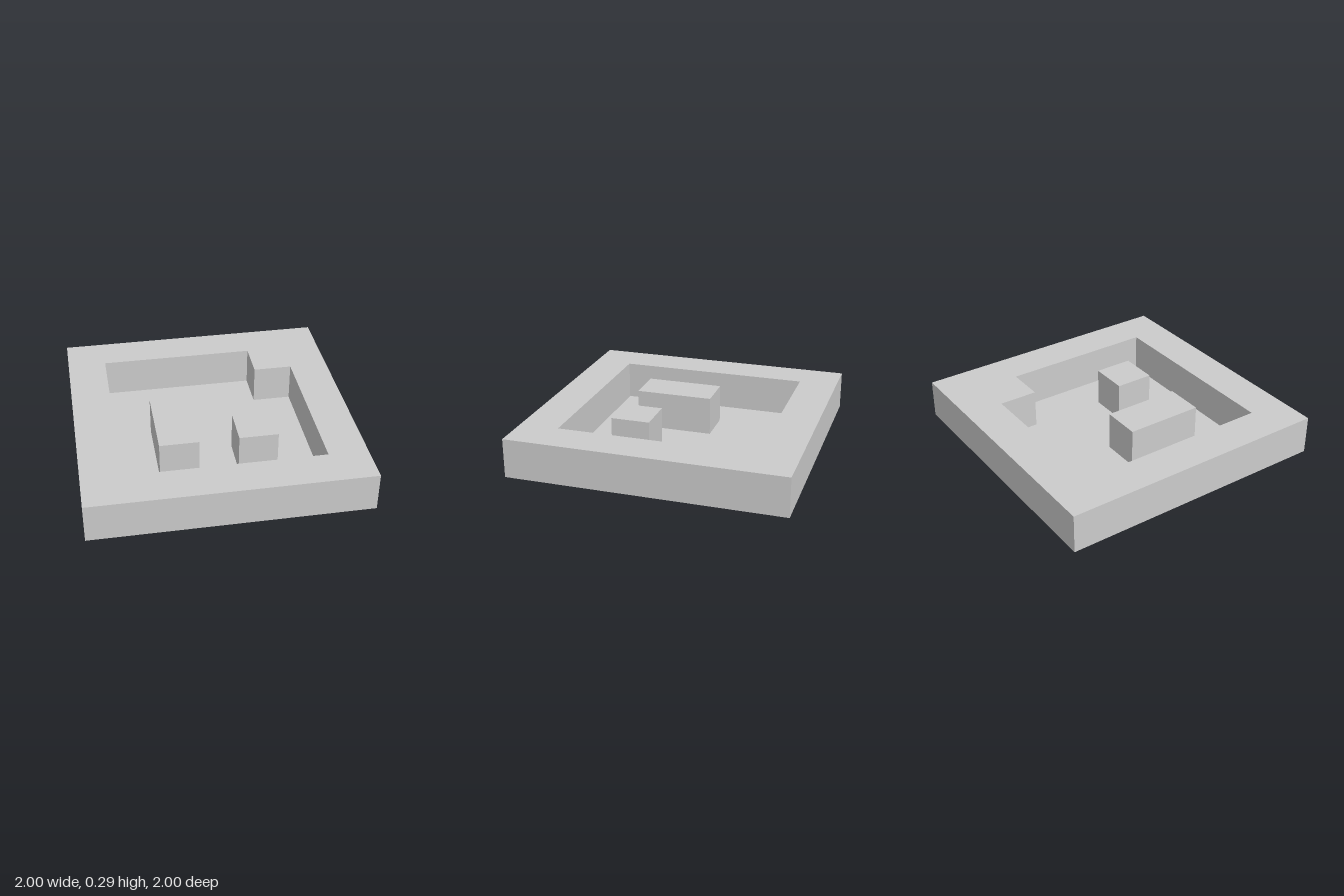
import * as THREE from 'three';

const U = 2 / 7; // grid unit; the tray is 7 x 7 x 1 units
const H = U;

// Outlines are counter-clockwise seen from above, as [x, -z]
const rect = (x0, z0, x1, z1) =>
  [[x0, -z1], [x1, -z1], [x1, -z0], [x0, -z0]].map(([x, y]) => new THREE.Vector2(x * U, y * U));

// Horizontal sheet at a given height, with optional holes
function sheet(outline, holes, y) {
  const shape = new THREE.Shape(outline);
  for (const h of holes) shape.holes.push(new THREE.Path(h));
  return new THREE.ShapeGeometry(shape).rotateX(-Math.PI / 2).translate(0, y, 0);
}

// Vertical walls along an outline; a reversed outline makes them face inward
function walls(outline) {
  const pos = [];
  outline.forEach((a, i) => {
    const b = outline[(i + 1) % outline.length];
    const a0 = [a.x, 0, -a.y], a1 = [a.x, H, -a.y];
    const b0 = [b.x, 0, -b.y], b1 = [b.x, H, -b.y];
    pos.push(...a0, ...b0, ...b1, ...a0, ...b1, ...a1);
  });
  const g = new THREE.BufferGeometry();
  g.setAttribute('position', new THREE.Float32BufferAttribute(pos, 3));
  g.computeVertexNormals();
  return g;
}

export function createModel() {
  const group = new THREE.Group();
  const material = new THREE.MeshStandardMaterial({
    color: 0xcccccc, flatShading: true, side: THREE.DoubleSide,
  });
  const add = (name, geometry, parent = group) => {
    const mesh = new THREE.Mesh(geometry, material);
    mesh.name = name;
    parent.add(mesh);
  };

  const outer = rect(-3.5, -3.5, 3.5, 3.5);
  // Recess with one back corner notched out
  const recess = [[-2.5, -2.5], [2.5, -2.5], [2.5, 1.5], [1.5, 1.5], [1.5, 2.5], [-2.5, 2.5]]
    .map(([x, y]) => new THREE.Vector2(x * U, y * U));
  const blocks = {
    longBlock: rect(-1.5, -0.5, -0.5, 1.5),
    shortBlock: rect(0.5, 0.5, 1.5, 1.5),
  };

  // Frame: hollow underneath, open at the bottom
  add('outerWalls', walls(outer));
  add('rim', sheet(outer, [recess], H));
  add('recessWalls', walls([...recess].reverse()));

  // Floor, open beneath the hollow blocks
  add('floor', sheet(recess, Object.values(blocks), 0));

  // Raised blocks
  for (const [name, outline] of Object.entries(blocks)) {
    const block = new THREE.Group();
    block.name = name;
    add(name + 'Walls', walls(outline), block);
    add(name + 'Top', sheet(outline, [], H), block);
    group.add(block);
  }
  return group;
}
